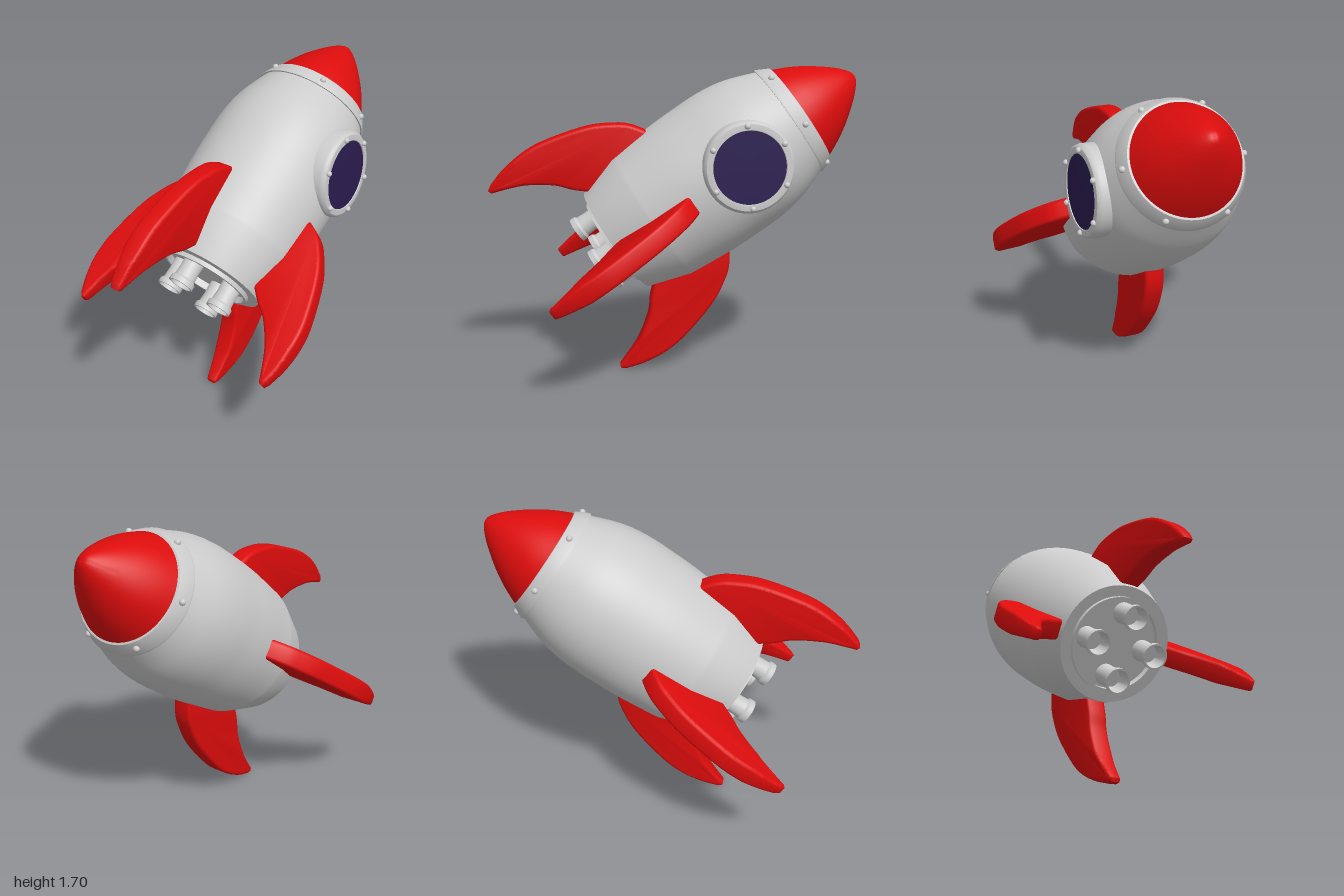
import * as THREE from 'three';
import { toCreasedNormals } from 'three/addons/utils/BufferGeometryUtils.js';

const grey = new THREE.MeshStandardMaterial({ color: 0xcccccc });
const red = new THREE.MeshStandardMaterial({ color: 0xdc0c0c });
const violet = new THREE.MeshStandardMaterial({ color: 0x2a1c50 });

const vec = (pts) => pts.map(([x, y]) => new THREE.Vector2(x, y));

function add(parent, name, geometry, material) {
  const mesh = new THREE.Mesh(geometry, material);
  mesh.name = name;
  parent.add(mesh);
  return mesh;
}

// Turned part: profile of [radius, height] pairs, listed upward on the outside
function turned(points, segments = 64) {
  return toCreasedNormals(new THREE.LatheGeometry(vec(points), segments), 0.6);
}

// Smooth run of profile points
function smooth(points, count) {
  return new THREE.SplineCurve(vec(points)).getPoints(count).map((p) => [Math.max(p.x, 0), p.y]);
}

// Ring of six rivets around the local y axis
function rivets(parent, name, radius, y, size) {
  const geometry = new THREE.SphereGeometry(size, 14, 10);
  for (let i = 0; i < 6; i++) {
    const a = (i * Math.PI) / 3;
    add(parent, name, geometry, grey).position.set(radius * Math.cos(a), y, radius * Math.sin(a));
  }
}

// Swept-back fin: outline in (radius, height), rounded edges, thinner toward the tip
function finGeometry() {
  const shape = new THREE.Shape();
  shape.moveTo(0.3, 0.05);
  shape.lineTo(0.3, 0.44);
  shape.lineTo(0.405, 0.482);
  shape.splineThru(vec([
    [0.475, 0.435], [0.532, 0.371], [0.61, 0.23], [0.673, 0.014],
    [0.691, -0.125], [0.678, -0.276], [0.648, -0.385],
  ]));
  shape.lineTo(0.63, -0.412);
  shape.lineTo(0.61, -0.405);
  shape.splineThru(vec([[0.546, -0.236], [0.455, -0.103], [0.373, -0.03], [0.3, 0.05]]));
  const bevel = 0.018;
  const geometry = new THREE.ExtrudeGeometry(shape, {
    depth: 0.11 - 2 * bevel, bevelThickness: bevel, bevelSize: bevel,
    bevelOffset: -bevel, bevelSegments: 3, curveSegments: 28,
  });
  geometry.translate(0, 0, -0.055 + bevel);
  const pos = geometry.attributes.position;
  for (let i = 0; i < pos.count; i++) {
    const t = THREE.MathUtils.clamp((-0.2 - pos.getY(i)) / 0.21, 0, 1);
    pos.setZ(i, pos.getZ(i) * (1 - 0.45 * t));
  }
  return toCreasedNormals(geometry, 0.7);
}

export function createModel() {
  const model = new THREE.Group();
  model.name = 'rocket';

  // Everything is built upright along y, then tipped back
  const rocket = new THREE.Group();
  rocket.name = 'tiltedRocket';
  rocket.position.set(0, 0.753, 0.308);
  rocket.rotation.x = THREE.MathUtils.degToRad(-55.5);
  model.add(rocket);

  // Hull with raised rim around the engine plate
  add(rocket, 'hull', turned([
    [0, 0.015], [0.24, 0.015], [0.24, -0.024], [0.257, -0.024], [0.257, 0], [0.315, 0],
    ...smooth([[0.39, 0.238], [0.41, 0.48], [0.414, 0.65], [0.41, 0.83], [0.383, 0.985], [0.318, 1.16]], 36),
  ], 80), grey);

  // Collar and nose cone
  add(rocket, 'collar', turned([
    [0.3, 1.145], [0.333, 1.145], [0.333, 1.155], [0.297, 1.222], [0.27, 1.226],
  ], 80), grey);
  rivets(rocket, 'collarRivet', 0.317, 1.187, 0.017);
  add(rocket, 'noseCone', turned(smooth([
    [0.29, 1.215], [0.242, 1.315], [0.183, 1.41], [0.1, 1.515], [0.035, 1.574], [0, 1.586],
  ], 28), 80), red);

  // Fins and engine nozzles, four of each
  const fin = finGeometry();
  const nozzle = turned([
    [0, -0.06], [0.05, -0.06], [0.06, -0.15], [0.069, -0.15], [0.069, -0.122],
    [0.058, -0.11], [0.055, -0.06], [0.058, 0.03],
  ], 32);
  for (let i = 0; i < 4; i++) {
    const a = (i * Math.PI) / 2;
    add(rocket, 'fin', fin, red).rotation.y = a;
    add(rocket, 'engineNozzle', nozzle, grey).position.set(0.17 * Math.cos(a), 0, 0.17 * Math.sin(a));
  }

  // Porthole on the left side
  const porthole = new THREE.Group();
  porthole.name = 'porthole';
  porthole.position.set(0.43, 0.822, 0);
  porthole.rotation.z = -Math.PI / 2 + 0.06;
  rocket.add(porthole);
  add(porthole, 'portholeFrame', turned([
    [0.238, -0.16], [0.241, -0.03], [0.236, -0.012], [0.225, -0.002], [0.21, 0], [0.193, 0], [0.19, -0.008],
  ]), grey);
  add(porthole, 'portholeGlass', turned([[0.191, -0.005], [0, -0.003]]), violet);
  rivets(porthole, 'portholeRivet', 0.214, 0.002, 0.016);

  return model;
}
